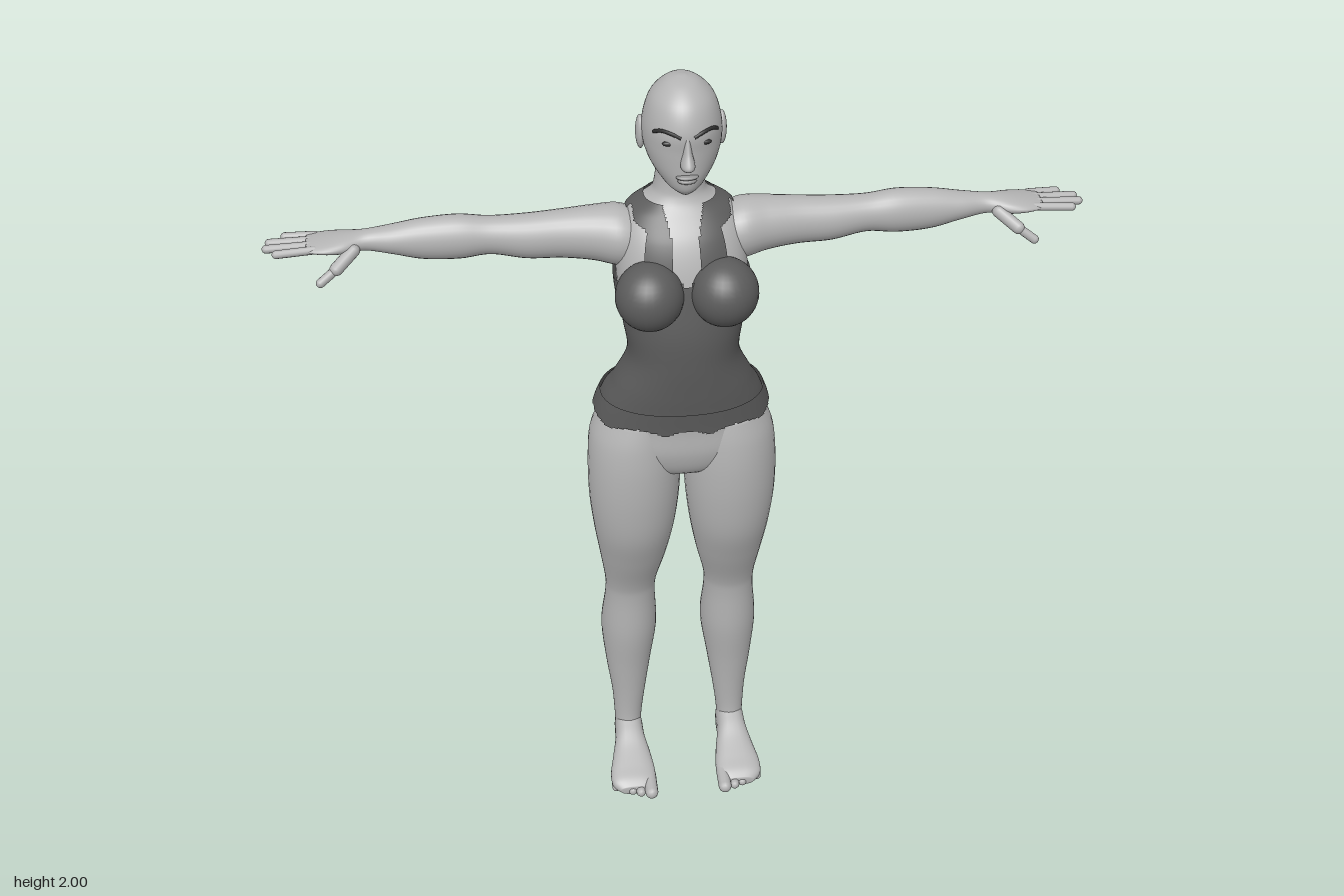
import * as THREE from 'three';

const material = (name, color, side = THREE.FrontSide) => {
  const m = new THREE.MeshStandardMaterial({ color, side });
  m.name = name;
  return m;
};

// Smooth surface through sections [t, a0, a1, b0, b1], listed with t descending.
// axis y: a = x, b = z; axis x: a = z, b = y; axis z: a = y, b = x.
function loft(sections, { axis = 'y', cols = 32, steps = 6, grow = 0, power = 2, keep = null } = {}) {
  const n = sections.length, rows = (n - 1) * steps + 1;
  const at = (i) => sections[Math.min(n - 1, Math.max(0, i))];
  const spline = (p0, p1, p2, p3, f) => p1 + 0.5 * f * (p2 - p0 + f * (2 * p0 - 5 * p1 + 4 * p2 - p3 + f * (3 * (p1 - p2) + p3 - p0)));
  const place = { y: (a, t, b) => [a, t, b], x: (a, t, b) => [t, b, a], z: (a, t, b) => [b, a, t] }[axis];
  const bend = (v) => Math.sign(v) * Math.abs(v) ** (2 / power);
  const points = [], index = [], ends = [];
  for (let r = 0; r < rows; r++) {
    const i = Math.min(n - 2, Math.floor(r / steps)), f = r / steps - i;
    const [t, a0, a1, b0, b1] = [0, 1, 2, 3, 4].map((k) => spline(at(i - 1)[k], at(i)[k], at(i + 1)[k], at(i + 2)[k], f));
    const a = (a0 + a1) / 2, b = (b0 + b1) / 2;
    for (let c = 0; c < cols; c++) {
      const q = (c / cols) * Math.PI * 2;
      points.push(place(a + ((a1 - a0) / 2 + grow) * bend(Math.sin(q)), t, b + ((b1 - b0) / 2 + grow) * bend(Math.cos(q))));
    }
    if (r === 0 || r === rows - 1) ends.push(place(a, t, b));
  }
  for (let r = 0; r < rows - 1; r++) for (let c = 0; c < cols; c++) {
    const p = r * cols + c, q = r * cols + (c + 1) % cols;
    const mid = [0, 1, 2].map((k) => (points[p][k] + points[q + cols][k]) / 2);
    if (!keep || keep(...mid)) index.push(p, p + cols, q, q, p + cols, q + cols);
  }
  if (!keep) {
    const top = points.length, last = (rows - 1) * cols;
    points.push(...ends);
    for (let c = 0; c < cols; c++) {
      const d = (c + 1) % cols;
      index.push(top, c, d, top + 1, last + d, last + c);
    }
  }
  const g = new THREE.BufferGeometry();
  g.setAttribute('position', new THREE.Float32BufferAttribute(points.flat(), 3));
  g.setIndex(index);
  g.computeVertexNormals();
  return g;
}

const ball = (x, y, z, rx, ry, rz) => new THREE.SphereGeometry(1, 28, 20).scale(rx, ry, rz).translate(x, y, z);

function capsule(from, to, r) {
  const a = new THREE.Vector3(...from), b = new THREE.Vector3(...to), d = b.clone().sub(a);
  const turn = new THREE.Quaternion().setFromUnitVectors(new THREE.Vector3(0, 1, 0), d.clone().normalize());
  return new THREE.CapsuleGeometry(r, d.length(), 5, 12).applyQuaternion(turn).translate(...a.add(b).multiplyScalar(0.5));
}

// Mirror across x with the corner order reversed
function mirror(geometry) {
  const g = geometry.clone();
  const p = g.attributes.position, n = g.attributes.normal, ix = g.index.array;
  for (let i = 0; i < p.count; i++) { p.setX(i, -p.getX(i)); n.setX(i, -n.getX(i)); }
  for (let i = 0; i < ix.length; i += 3) [ix[i + 1], ix[i + 2]] = [ix[i + 2], ix[i + 1]];
  return g;
}

// Straight-line lookup in a list of [key, value]
function lookup(table, key) {
  for (let i = 1; i < table.length; i++) {
    if (key <= table[i][0]) return THREE.MathUtils.mapLinear(key, table[i - 1][0], table[i][0], table[i - 1][1], table[i][1]);
  }
  return table[table.length - 1][1];
}

export function createModel() {
  const model = new THREE.Group();
  model.name = 'figure';
  const skin = material('skin', 0xb4b4b4);
  const cloth = material('cloth', 0x5c5c5c, THREE.DoubleSide);
  const lip = material('lip', 0x939393);
  const dark = material('brow and lash', 0x303030);

  const add = (name, geometry, mat) => {
    const mesh = new THREE.Mesh(geometry, mat);
    mesh.name = name;
    model.add(mesh);
  };
  const pair = (name, geometry, mat) => {
    add(name + 'Left', geometry, mat);
    add(name + 'Right', mirror(geometry), mat);
  };
  const even = (rows) => rows.map(([y, w, front, back]) => [y, -w, w, back, front]);

  // Neck and torso
  const torso = even([
    [1.82, 0.05, 0.0, -0.1], [1.73, 0.056, 0.0, -0.105], [1.695, 0.07, 0.008, -0.112],
    [1.665, 0.115, 0.03, -0.125], [1.62, 0.14, 0.065, -0.138], [1.56, 0.15, 0.09, -0.138],
    [1.48, 0.148, 0.108, -0.126], [1.4, 0.132, 0.12, -0.1], [1.32, 0.124, 0.119, -0.083],
    [1.24, 0.157, 0.112, -0.105], [1.19, 0.182, 0.106, -0.14], [1.13, 0.2, 0.1, -0.155],
    [1.06, 0.205, 0.098, -0.14], [1.0, 0.14, 0.075, -0.1], [0.965, 0.03, 0.02, -0.05],
  ]);
  add('torso', loft(torso, { cols: 48, power: 2.2 }), skin);
  pair('buttock', ball(0.093, 1.075, -0.085, 0.094, 0.105, 0.088), skin);

  // Sleeveless top with an open front neckline and cut-in armholes
  const edge = [[1.48, 0.18], [1.53, 0.14], [1.58, 0.092], [1.645, 0.085], [1.655, 0.11], [1.7, 0.11]];
  const onTop = (x, y, z) => {
    const w = Math.abs(x);
    if (y < 1.165 || y > 1.692) return false;
    if (y > 1.48 && w > lookup(edge, y) + (z < -0.04 ? 0.012 : 0)) return false;
    return !(z > -0.04 && y > 1.525 && w < Math.min(0.03, (y - 1.525) * 0.9) + Math.max(0, y - 1.63) * 0.25);
  };
  const fine = { cols: 144, steps: 16, power: 2.2 };
  add('top', loft(torso, { ...fine, grow: 0.007, keep: onTop }), cloth);
  pair('bust', ball(0.085, 1.508, 0.092, 0.078, 0.08, 0.08), cloth);

  // Scalloped hem around the hips
  const onHem = (x, y, z) => y < 1.195 && y > 1.132 + 0.016 * Math.abs(Math.cos(4 * Math.atan2(x, z + 0.02)));
  add('hem', loft(torso, { ...fine, grow: 0.014, keep: onHem }), cloth);

  // Legs
  pair('leg', loft([
    [1.14, 0.015, 0.193, -0.13, 0.088], [1.08, 0.004, 0.22, -0.14, 0.1], [1.0, 0.003, 0.228, -0.125, 0.105],
    [0.9, 0.008, 0.227, -0.115, 0.1], [0.8, 0.02, 0.217, -0.11, 0.083], [0.7, 0.038, 0.203, -0.105, 0.045],
    [0.6, 0.06, 0.19, -0.107, 0.002], [0.54, 0.063, 0.19, -0.125, -0.01], [0.42, 0.058, 0.2, -0.168, -0.014],
    [0.3, 0.075, 0.19, -0.147, -0.03], [0.2, 0.09, 0.177, -0.125, -0.04], [0.12, 0.1, 0.172, -0.12, -0.043],
    [0.06, 0.104, 0.17, -0.126, -0.035], [0.02, 0.11, 0.165, -0.12, -0.04],
  ], { cols: 36 }), skin);

  // Feet and toes
  pair('foot', loft([
    [0.125, 0.005, 0.028, 0.095, 0.175], [0.105, 0.003, 0.042, 0.083, 0.195], [0.07, 0.002, 0.056, 0.081, 0.198],
    [0.02, 0.004, 0.078, 0.088, 0.187], [-0.03, 0.004, 0.105, 0.098, 0.176], [-0.08, 0.002, 0.12, 0.1, 0.173],
    [-0.12, 0.003, 0.08, 0.107, 0.168], [-0.135, 0.015, 0.05, 0.12, 0.155],
  ], { axis: 'z', cols: 28, power: 2.6 }), skin);
  for (let i = 0; i < 5; i++) {
    const r = i ? 0.013 - i * 0.0006 : 0.017, x = i ? 0.103 + i * 0.021 : 0.097;
    pair('toe' + (i + 1), capsule([x, r + 0.01, 0.08], [x, r + 0.001, 0.138 - i * 0.009], r), skin);
  }

  // Arms and palms
  pair('arm', loft([
    [0.84, -0.1, -0.018, 1.602, 1.618], [0.8, -0.104, -0.006, 1.597, 1.626], [0.76, -0.098, -0.01, 1.592, 1.632],
    [0.71, -0.085, -0.03, 1.589, 1.636], [0.65, -0.09, -0.022, 1.577, 1.645], [0.58, -0.095, -0.015, 1.56, 1.657],
    [0.5, -0.096, -0.01, 1.557, 1.662], [0.43, -0.092, -0.012, 1.564, 1.654], [0.35, -0.096, -0.005, 1.549, 1.655],
    [0.27, -0.1, 0.0, 1.546, 1.66], [0.2, -0.107, 0.012, 1.538, 1.666], [0.14, -0.115, 0.028, 1.525, 1.668],
    [0.09, -0.105, 0.02, 1.53, 1.65],
  ], { axis: 'x', cols: 28 }), skin);

  // Fingers and thumb
  [[-0.094, -0.099, 0.888], [-0.072, -0.073, 0.922], [-0.049, -0.046, 0.928], [-0.026, -0.019, 0.905]].forEach(([z0, z1, tip], i) =>
    pair('finger' + (i + 1), capsule([0.82, 1.611, z0], [tip, 1.609, z1], 0.0095), skin));
  pair('thumbBase', capsule([0.735, 1.605, -0.025], [0.775, 1.578, 0.008], 0.015), skin);
  pair('thumbTip', capsule([0.775, 1.578, 0.008], [0.812, 1.552, 0.02], 0.0105), skin);

  // Head
  add('head', loft(even([
    [1.999, 0.008, 0.0, -0.014], [1.988, 0.038, 0.042, -0.054], [1.955, 0.07, 0.081, -0.093],
    [1.905, 0.086, 0.1, -0.117], [1.86, 0.088, 0.098, -0.115], [1.82, 0.078, 0.096, -0.1],
    [1.79, 0.061, 0.094, -0.075], [1.765, 0.04, 0.088, -0.035], [1.75, 0.018, 0.074, 0.005],
  ]), { cols: 48 }), skin);
  pair('ear', ball(0.09, 1.862, -0.022, 0.011, 0.04, 0.021), skin);

  // Nose, mouth and eyes
  add('nose', loft(even([
    [1.9, 0.007, 0.1, 0.07], [1.865, 0.01, 0.114, 0.07], [1.837, 0.016, 0.131, 0.07], [1.824, 0.013, 0.112, 0.07],
  ]), { cols: 20 }), skin);
  add('upperLip', ball(0, 1.803, 0.092, 0.025, 0.006, 0.013), lip);
  add('lowerLip', ball(0, 1.793, 0.09, 0.021, 0.007, 0.013), lip);
  pair('eye', ball(0.038, 1.882, 0.084, 0.016, 0.006, 0.007), dark);
  const brow = new THREE.CatmullRomCurve3([[0.014, 1.899, 0.098], [0.036, 1.908, 0.09], [0.055, 1.909, 0.075], [0.069, 1.9, 0.058]].map((p) => new THREE.Vector3(...p)));
  pair('brow', new THREE.TubeGeometry(brow, 16, 0.0042, 8), dark);

  return model;
}
